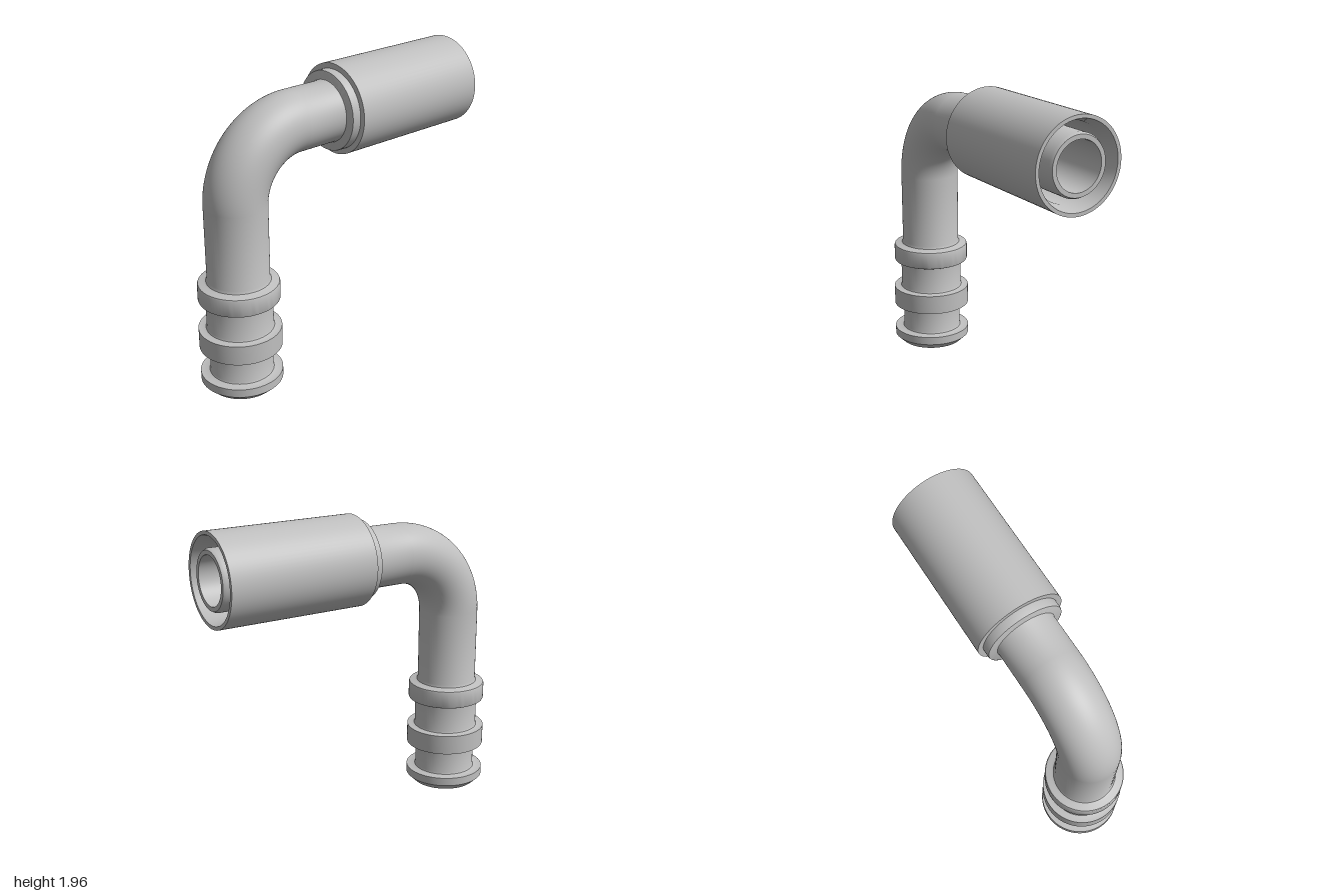
import * as THREE from 'three';
import { toCreasedNormals } from 'three/addons/utils/BufferGeometryUtils.js';

const SEGMENTS = 72;
const PIPE_R = 0.195, BORE_R = 0.152;
const AXIS_X = -0.738, AXIS_Y = 1.665; // centre lines of the two legs
const BEND_R = 0.43;
const BEND_X = AXIS_X + BEND_R, BEND_Y = AXIS_Y - BEND_R;

// Solid of revolution about y; the profile runs up the outside and down the inside.
function turned(profile) {
  const points = [...profile, profile[0]].map(([r, y]) => new THREE.Vector2(r, y));
  return toCreasedNormals(new THREE.LatheGeometry(points, SEGMENTS), 0.6);
}

// Quarter torus joining the two legs; inward turns the faces towards the centre line.
function quarterBend(radius, inward) {
  const geometry = new THREE.TorusGeometry(BEND_R, radius, SEGMENTS, 40, Math.PI / 2);
  geometry.rotateZ(Math.PI / 2);
  if (inward) {
    geometry.index.array.reverse();
    const normals = geometry.attributes.normal.array;
    for (let i = 0; i < normals.length; i++) normals[i] *= -1;
  }
  return geometry;
}

export function createModel() {
  const group = new THREE.Group();
  const steel = new THREE.MeshStandardMaterial({ color: 0xbfbfbf });
  steel.name = 'grey steel';

  const add = (name, geometry, x, y) => {
    const mesh = new THREE.Mesh(geometry, steel);
    mesh.name = name;
    mesh.position.set(x, y, 0);
    group.add(mesh);
  };

  // Upright leg: chamfered foot, two grooves, two rings, then plain pipe
  add('ringedLeg', turned([
    [0.215, 0], [0.262, 0.045], [0.262, 0.1],
    [0.213, 0.1], [0.205, 0.104], [0.2, 0.115],
    [0.2, 0.28], [0.262, 0.28], [0.262, 0.41],
    [0.225, 0.41], [0.215, 0.414], [0.21, 0.425],
    [0.21, 0.608], [0.247, 0.608], [0.253, 0.611], [0.256, 0.618],
    [0.256, 0.715], [0.252, 0.726], [0.242, 0.73],
    [0.215, 0.732], [0.202, 0.738], [PIPE_R, 0.755],
    [PIPE_R, BEND_Y], [BORE_R, BEND_Y], [BORE_R, 0.02], [0.175, 0],
  ]), AXIS_X, 0);

  // Elbow, outside and bore
  add('elbow', quarterBend(PIPE_R, false), BEND_X, BEND_Y);
  add('elbowBore', quarterBend(BORE_R, true), BEND_X, BEND_Y);

  // Level leg: pipe, stop collar and the inner nipple reaching the open end
  const nipple = turned([
    [PIPE_R, BEND_X], [PIPE_R, -0.045], [0.198, -0.038], [0.205, -0.035],
    [0.245, -0.035], [0.252, -0.032], [0.255, -0.025], [0.255, 0.04],
    [0.19, 0.04], [0.19, 0.98], [0.18, 1], [BORE_R, 1], [BORE_R, BEND_X],
  ]);
  nipple.rotateZ(-Math.PI / 2);
  add('collarAndNipple', nipple, 0, AXIS_Y);

  // Outer crimp sleeve with a gap around the nipple
  const sleeve = turned([
    [0.19, 0.025], [0.29, 0.025], [0.29, 1], [0.267, 1],
    [0.24, 0.9], [0.24, 0.12], [0.19, 0.12],
  ]);
  sleeve.rotateZ(-Math.PI / 2);
  add('crimpSleeve', sleeve, 0, AXIS_Y);

  return group;
}
